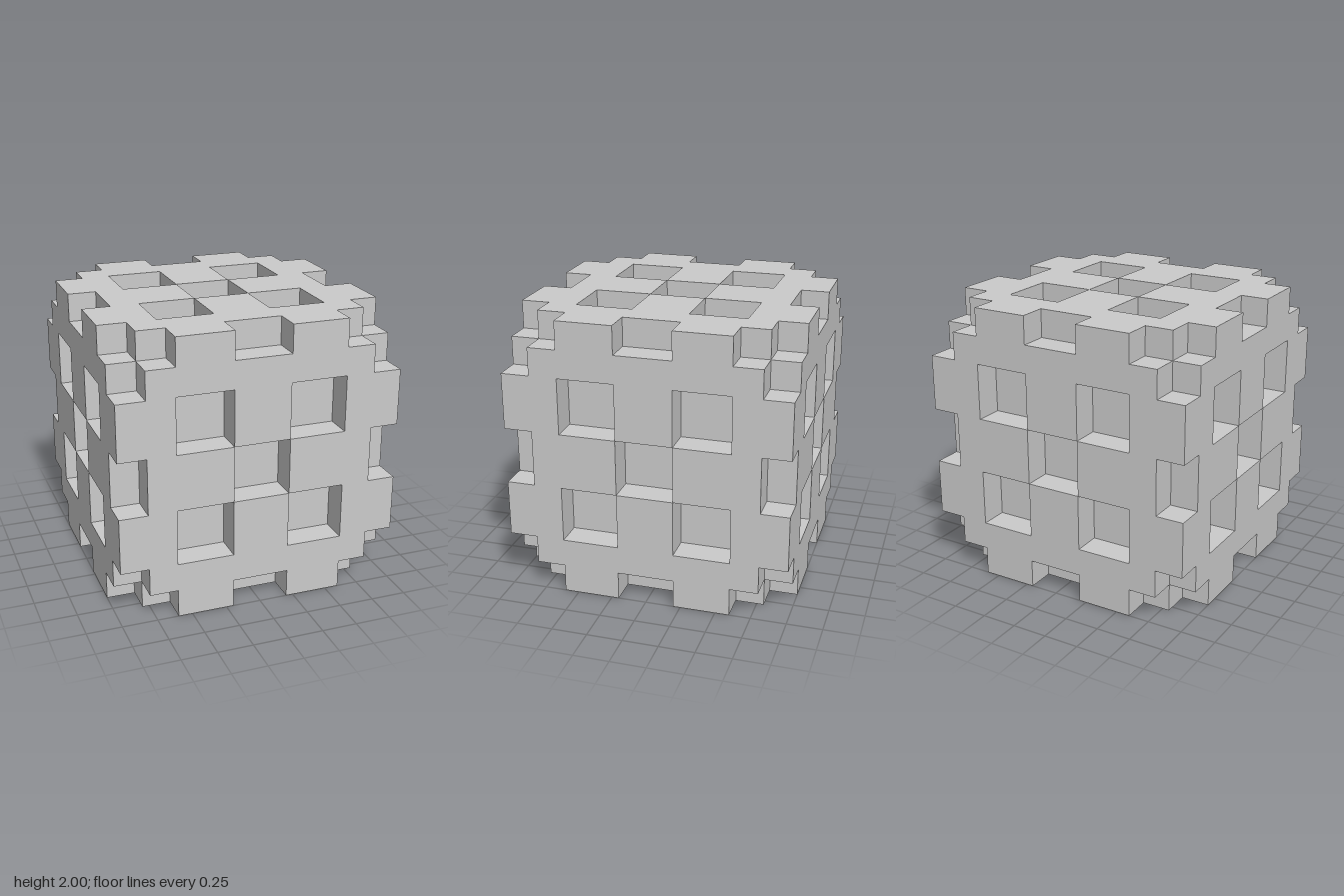
import * as THREE from 'three';

const material = new THREE.MeshStandardMaterial({ color: 0xcccccc, flatShading: true });
const CORE = 0.8;   // half width of the solid core
const STEP = 0.2;   // plate thickness

function addMesh(parent, geometry, name, x = 0, y = 0, z = 0) {
  const mesh = new THREE.Mesh(geometry, material);
  mesh.name = name;
  mesh.position.set(x, y, z);
  parent.add(mesh);
  return mesh;
}

// E-shaped side of a face plate; its gaps are the square pockets
function combGeometry() {
  const points = [
    [0.2, -0.8], [0.8, -0.8], [0.8, 0.8], [0.2, 0.8], [0.2, 0.6], [0.6, 0.6],
    [0.6, 0.2], [0.2, 0.2], [0.2, -0.2], [0.6, -0.2], [0.6, -0.6], [0.2, -0.6],
  ].map(([x, y]) => new THREE.Vector2(x, y));
  return new THREE.ExtrudeGeometry(new THREE.Shape(points), { depth: STEP, bevelEnabled: false });
}

// Plate with five pockets in an X pattern, lying on the +z side of the core
function createPlate(name, comb, bridge) {
  const plate = new THREE.Group();
  plate.name = name;
  for (const s of [1, -1]) {
    addMesh(plate, comb, 'plateComb', 0, 0, CORE).rotation.z = s > 0 ? 0 : Math.PI;
    addMesh(plate, bridge, 'plateBridge', 0, s * 0.5, CORE + STEP / 2);
  }
  return plate;
}

export function createModel() {
  const model = new THREE.Group();
  model.name = 'notchedCube';
  const cube = new THREE.Group();
  cube.name = 'cubeBody';
  cube.position.y = 1;
  model.add(cube);

  // Solid core, seen at the bottom of the pockets
  addMesh(cube, new THREE.BoxGeometry(2 * CORE, 2 * CORE, 2 * CORE), 'core');

  // Six face plates
  const comb = combGeometry();
  const bridge = new THREE.BoxGeometry(0.4, 0.6, STEP);
  const turns = {
    frontPlate: [0, 0], leftPlate: [0, Math.PI / 2], backPlate: [0, Math.PI],
    rightPlate: [0, -Math.PI / 2], topPlate: [-Math.PI / 2, 0], bottomPlate: [Math.PI / 2, 0],
  };
  for (const [name, [rx, ry]] of Object.entries(turns)) {
    const plate = createPlate(name, comb, bridge);
    plate.rotation.set(rx, ry, 0);
    cube.add(plate);
  }

  // Two teeth on each of the twelve edges; corners and edge middles stay open
  for (let axis = 0; axis < 3; axis++) {
    const size = [STEP, STEP, STEP];
    size[axis] = 0.4;
    const tooth = new THREE.BoxGeometry(...size);
    for (const along of [-0.4, 0.4])
      for (const a of [-0.9, 0.9])
        for (const b of [-0.9, 0.9]) {
          const p = [0, 0, 0];
          p[axis] = along;
          p[(axis + 1) % 3] = a;
          p[(axis + 2) % 3] = b;
          addMesh(cube, tooth, 'edgeTooth', ...p);
        }
  }
  return model;
}
